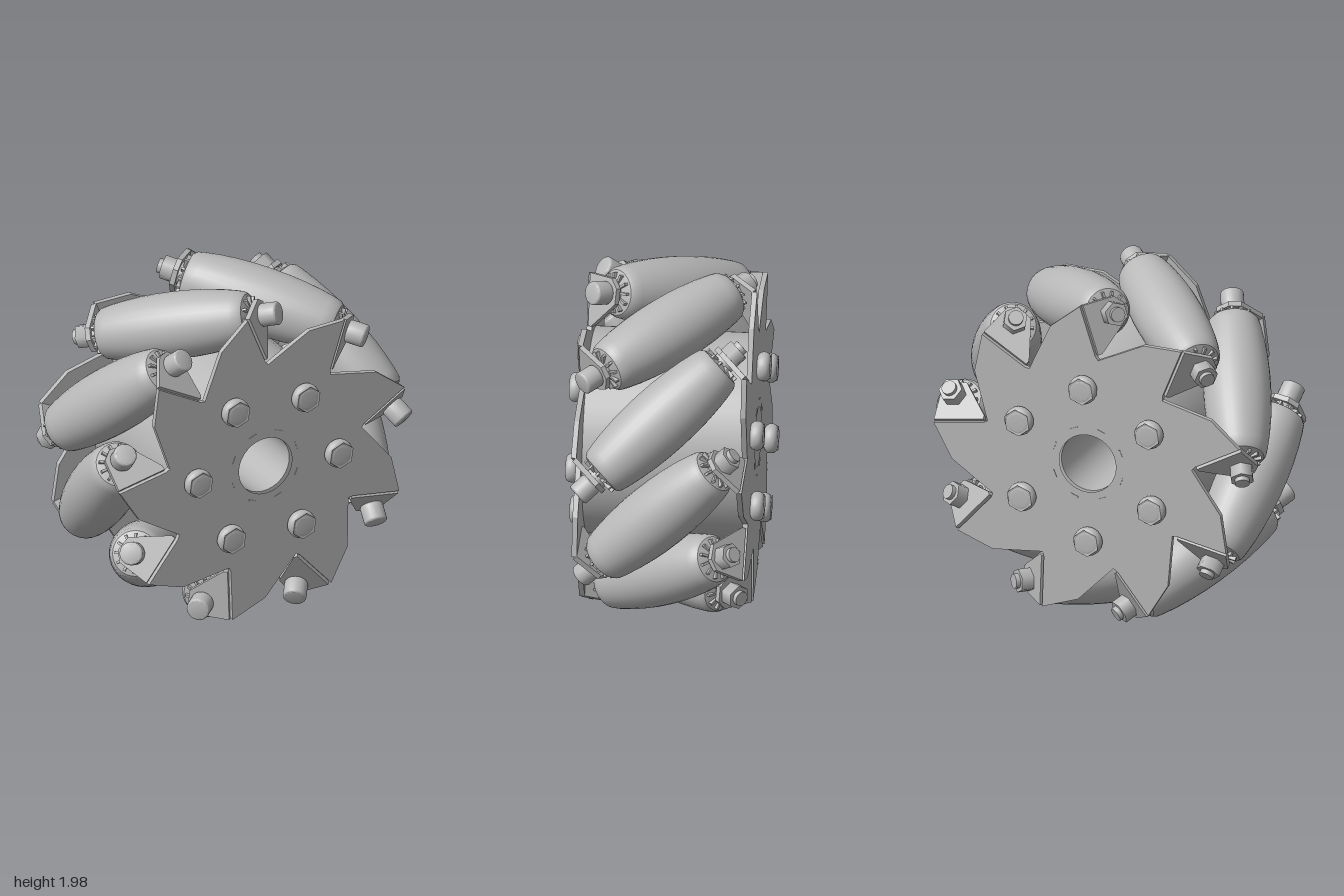
import * as THREE from 'three';
import { toCreasedNormals } from 'three/addons/utils/BufferGeometryUtils.js';

const COUNT = 9;          // rollers around the wheel
const AXLE_R = 0.8;       // distance of roller axles from the wheel centre
const PLATE_Z = 0.45;     // inner face of each side plate
const THICK = 0.03;       // sheet thickness
const BORE = 0.17;

const metal = new THREE.MeshStandardMaterial({ color: 0xb8b8b8 });
metal.name = 'light grey metal';

function add(parent, geometry, name, x = 0, y = 0, z = 0) {
  const mesh = new THREE.Mesh(geometry, metal);
  mesh.name = name;
  mesh.position.set(x, y, z);
  parent.add(mesh);
  return mesh;
}

// Turned part whose axis is z
function turned(points, segments) {
  const lathe = new THREE.LatheGeometry(points.map(p => new THREE.Vector2(p[0], p[1])), segments);
  return toCreasedNormals(lathe.rotateX(Math.PI / 2), 0.6);
}

function rod(radius, length, sides) {
  return new THREE.CylinderGeometry(radius, radius, length, sides).rotateX(Math.PI / 2);
}

// Round screw head with a hexagonal recess, standing on z = 0
function socketHead(radius, height, socket, bevel) {
  const shape = new THREE.Shape().absarc(0, 0, radius, 0, Math.PI * 2, false);
  const hex = [];
  for (let i = 0; i < 6; i++) {
    const a = -i * Math.PI / 3;
    hex.push(new THREE.Vector2(Math.cos(a) * socket, Math.sin(a) * socket));
  }
  shape.holes.push(new THREE.Path(hex));
  const g = new THREE.ExtrudeGeometry(shape, {
    depth: height - 2 * bevel, bevelEnabled: true, bevelThickness: bevel,
    bevelSize: bevel, bevelOffset: -bevel, bevelSegments: 4, curveSegments: 12,
  });
  return toCreasedNormals(g.translate(0, 0, bevel), 0.6);
}

// Side plate outline: one swept tooth per roller, given as (sideways, outward)
function plateGeometry() {
  const tooth = [[-0.175, 0.6], [0.03, 0.82], [0.242, 0.9], [0.242, 0.6]];
  const points = [];
  for (let k = 0; k < COUNT; k++) {
    const a = -k * Math.PI * 2 / COUNT;
    for (const [x, y] of tooth) points.push(new THREE.Vector2(x, y).rotateAround(new THREE.Vector2(), a));
  }
  const shape = new THREE.Shape(points);
  shape.holes.push(new THREE.Path().absarc(0, 0, BORE, 0, Math.PI * 2, true));
  return new THREE.ExtrudeGeometry(shape, { depth: THICK, bevelEnabled: false, curveSegments: 20 });
}

// Folded tab carrying one end of an axle
function tabGeometry() {
  const outline = [[-0.15, -0.2], [-0.125, -0.2], [0.075, -0.06], [0.085, 0.03], [0.04, 0.085], [-0.15, 0.1]];
  const shape = new THREE.Shape(outline.map(p => new THREE.Vector2(p[0], p[1])));
  return new THREE.ExtrudeGeometry(shape, { depth: THICK, bevelEnabled: false });
}

export function createModel() {
  const model = new THREE.Group();
  model.name = 'omnidirectionalWheel';
  const wheel = new THREE.Group();
  wheel.name = 'wheel';
  wheel.position.y = 1;
  wheel.rotation.z = THREE.MathUtils.degToRad(22);
  model.add(wheel);

  // Hub drum with its bore
  add(wheel, turned([[BORE, -PLATE_Z], [0.58, -PLATE_Z], [0.58, PLATE_Z], [BORE, PLATE_Z], [BORE, -PLATE_Z]], 40), 'hubDrum');

  // Side plates with button screws and raised marks round the bore
  const plate = plateGeometry();
  const button = socketHead(0.083, 0.075, 0.042, 0.032);
  const buttonFloor = rod(0.06, 0.03, 16);
  const mark = new THREE.BoxGeometry(0.05, 0.008, 0.006);
  for (const back of [false, true]) {
    const side = new THREE.Group();
    side.name = back ? 'backSide' : 'frontSide';
    side.rotation.y = back ? Math.PI : 0;
    wheel.add(side);
    add(side, plate, 'sidePlate', 0, 0, PLATE_Z);
    const face = PLATE_Z + THICK;
    const start = THREE.MathUtils.degToRad(back ? 180 - 6 : -24);
    for (let i = 0; i < 6; i++) {
      const a = start + i * Math.PI / 3;
      const x = Math.cos(a) * 0.45, y = Math.sin(a) * 0.45;
      add(side, button, 'buttonScrew', x, y, face - 0.003);
      add(side, buttonFloor, 'screwSocketFloor', x, y, face + 0.012);
    }
    for (let i = 0; i < 8; i++) {
      const a = i * Math.PI / 4;
      add(side, mark, 'boreMark', Math.cos(a) * 0.215, Math.sin(a) * 0.215, face).rotation.z = a + Math.PI / 2;
    }
  }

  // Barrel rollers, their axles and fittings
  const half = [[0.19, 0], [0.188, 0.1], [0.181, 0.2], [0.169, 0.3], [0.155, 0.38], [0.144, 0.425], [0.128, 0.445], [0.06, 0.465], [0, 0.465]];
  const profile = [...half.slice(1).reverse().map(([r, s]) => [r, -s]), ...half];
  const roller = turned(profile, 32);
  const tab = tabGeometry();
  const spacer = rod(0.065, 0.04, 16);
  const rib = new THREE.BoxGeometry(0.05, 0.014, 0.025);
  const capHead = socketHead(0.066, 0.11, 0.038, 0.014);
  const capFloor = rod(0.05, 0.05, 12);
  const nut = rod(0.07, 0.075, 6);
  const shaftEnd = rod(0.042, 0.1, 16);
  for (let k = 0; k < COUNT; k++) {
    const spoke = new THREE.Group();
    spoke.name = 'rollerUnit';
    spoke.rotation.z = k * Math.PI * 2 / COUNT;
    wheel.add(spoke);
    const axle = new THREE.Group();
    axle.name = 'rollerAxle';
    axle.position.y = AXLE_R;
    axle.rotation.y = Math.PI / 4;
    spoke.add(axle);
    add(axle, roller, 'roller');
    for (const back of [false, true]) {
      const end = new THREE.Group();
      end.name = back ? 'backMount' : 'frontMount';
      end.rotation.y = back ? Math.PI : 0;
      axle.add(end);
      add(end, spacer, 'spacer', 0, 0, 0.475);
      add(end, tab, 'foldedTab', 0, 0, 0.487);
      for (let i = 0; i < 12; i++) {
        const a = i * Math.PI / 6;
        add(end, rib, 'endRib', Math.cos(a) * 0.09, Math.sin(a) * 0.09, 0.46).rotation.z = a;
      }
      if (back) {
        add(end, nut, 'axleNut', 0, 0, 0.552);
        add(end, shaftEnd, 'shaftEnd', 0, 0, 0.565);
      } else {
        add(end, capHead, 'capScrewHead', 0, 0, 0.515);
        add(end, capFloor, 'capSocketFloor', 0, 0, 0.54);
      }
    }
  }
  return model;
}
